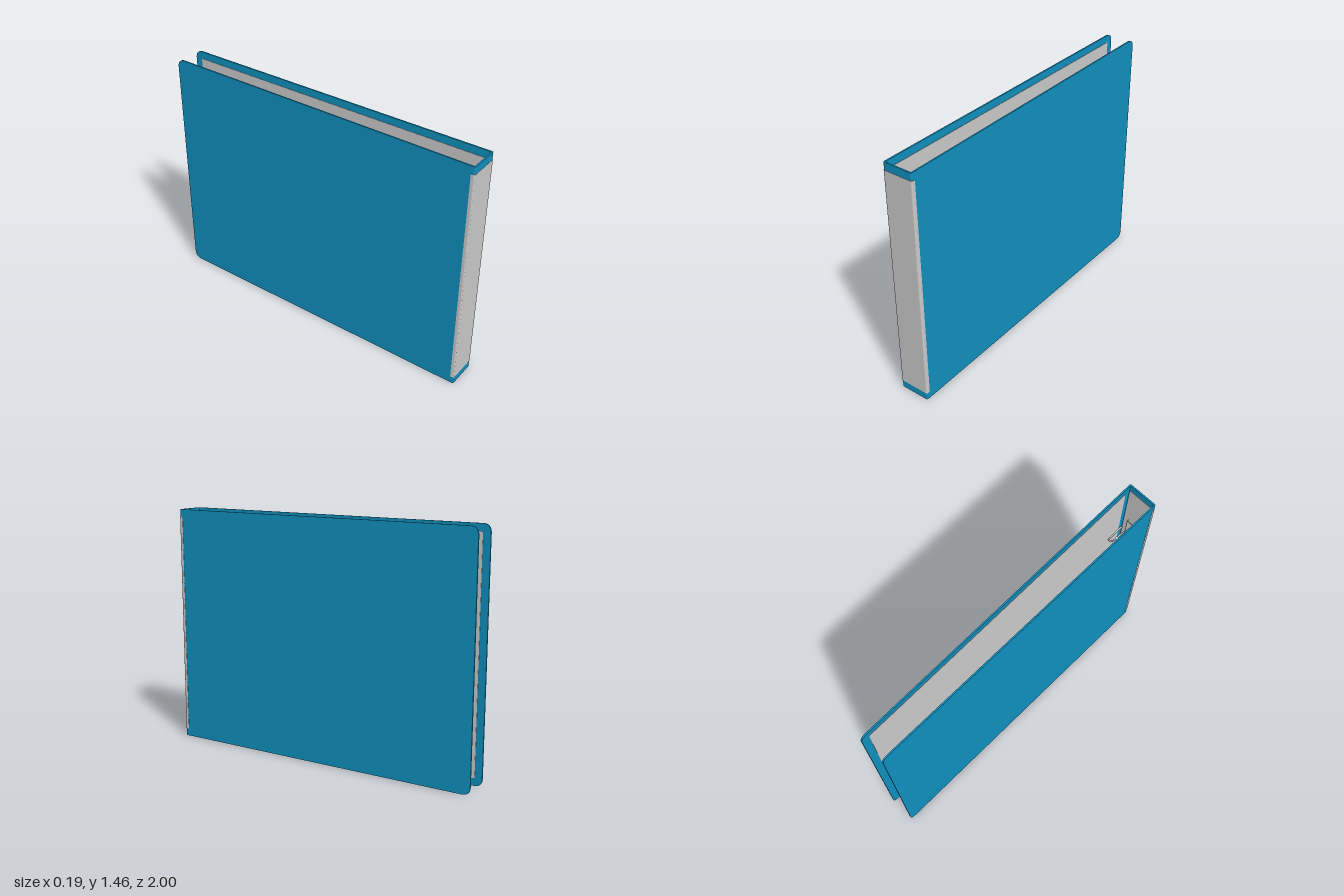
import * as THREE from 'three';

const H = 1.455;       // binder height
const MARGIN = 0.045;  // blue border around the lining and label
const coverX = z => 0.0875 + 0.005 * z; // covers lean in slightly towards the back

function material(name, color) {
  const m = new THREE.MeshStandardMaterial({ color });
  m.name = name;
  return m;
}

export function createModel() {
  const blue = material('blue cover', 0x1090be);
  const grey = material('light grey lining', 0xcacaca);
  const metal = material('ring metal', 0xd6d6d6);
  const model = new THREE.Group();
  model.name = 'ringBinder';

  function add(name, geometry, mat, parent = model) {
    const mesh = new THREE.Mesh(geometry, mat);
    mesh.name = name;
    parent.add(mesh);
    return mesh;
  }

  // Upright sheet along z, rounded by r at its back corners; s is its side of the binder
  function sheet(s, z0, z1, y0, y1, r, inset, thickness) {
    const shape = new THREE.Shape();
    shape.moveTo(s * z1, y0);
    shape.lineTo(s * z1, y1);
    shape.lineTo(s * (z0 + r), y1);
    shape.quadraticCurveTo(s * z0, y1, s * z0, y1 - r);
    shape.lineTo(s * z0, y0 + r);
    shape.quadraticCurveTo(s * z0, y0, s * (z0 + r), y0);
    const g = new THREE.ExtrudeGeometry(shape, { depth: thickness, bevelEnabled: false, curveSegments: 8 });
    const p = g.attributes.position;
    for (let i = 0; i < p.count; i++) {
      const z = s * p.getX(i);
      p.setXYZ(i, s * (coverX(z) - inset - p.getZ(i)), p.getY(i), z);
    }
    g.computeVertexNormals();
    return g;
  }

  // Channel that wraps the spine, open to the back, with rounded front edges
  function channel(w, z0, z1, r, t, y0, y1) {
    const q = Math.max(r - t, 0.002);
    const shape = new THREE.Shape();
    shape.moveTo(-w, z0);
    shape.lineTo(-w, z1 - r);
    shape.quadraticCurveTo(-w, z1, -w + r, z1);
    shape.lineTo(w - r, z1);
    shape.quadraticCurveTo(w, z1, w, z1 - r);
    shape.lineTo(w, z0);
    shape.lineTo(w - t, z0);
    shape.lineTo(w - t, z1 - t - q);
    shape.quadraticCurveTo(w - t, z1 - t, w - t - q, z1 - t);
    shape.lineTo(-w + t + q, z1 - t);
    shape.quadraticCurveTo(-w + t, z1 - t, -w + t, z1 - t - q);
    shape.lineTo(-w + t, z0);
    const g = new THREE.ExtrudeGeometry(shape, { depth: y1 - y0, bevelEnabled: false, curveSegments: 5 });
    return g.rotateX(Math.PI / 2).translate(0, y1, 0);
  }

  // Covers with their inner linings
  for (const s of [1, -1]) {
    const side = s > 0 ? 'left' : 'right';
    add(side + 'Cover', sheet(s, -1, 0.978, 0, H, 0.05, 0, 0.009), blue);
    add(side + 'Lining', sheet(s, -1 + MARGIN, 0.955, MARGIN, H - MARGIN, 0.006, 0.009, 0.002), grey);
  }

  // Spine with wrapped label and inner lining
  add('spine', channel(0.0925, 0.976, 0.9985, 0.01, 0.009, 0, H), blue);
  add('spineLabel', channel(0.094, 0.977, 1, 0.01, 0.002, MARGIN, H - MARGIN), grey);
  add('spineLining', new THREE.BoxGeometry(0.156, H - 2 * MARGIN, 0.003), grey)
    .position.set(0, H / 2, 0.988);

  // Ring mechanism fixed inside the spine
  const rings = new THREE.Group();
  rings.name = 'ringMechanism';
  model.add(rings);
  add('basePlate', channel(0.05, 0.972, 0.984, 0.008, 0.003, 0.33, 1.125).rotateY(Math.PI)
    .translate(0, 0, 1.958), metal, rings);
  for (const y of [0.45, H / 2, 1.005]) {
    for (const s of [1, -1]) {
      const path = new THREE.CatmullRomCurve3([
        [0.078, 0.982], [0.078, 0.9], [0.074, 0.866], [0.06, 0.866],
        [0.05, 0.89], [0.048, 0.955], [0.035, 0.98],
      ].map(([x, z]) => new THREE.Vector3(s * x, y, z)));
      add('ringArm', new THREE.TubeGeometry(path, 28, 0.005, 8), metal, rings);
    }
    const bar = add('ringBar', new THREE.CylinderGeometry(0.01, 0.01, 0.11, 14), metal, rings);
    bar.rotation.z = Math.PI / 2;
    bar.position.set(0, y, 0.905);
  }
  return model;
}
